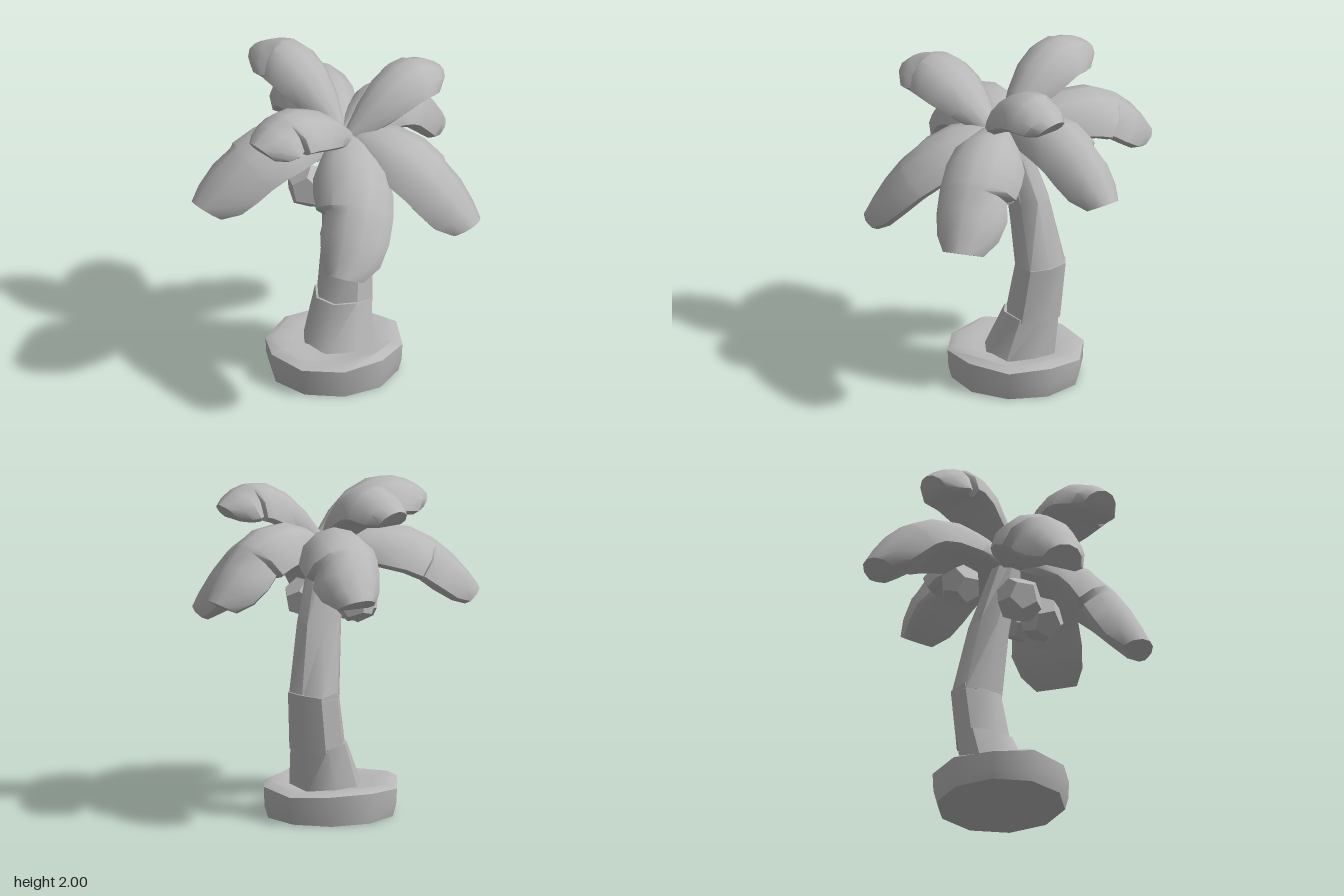
import * as THREE from 'three';
import { toCreasedNormals } from 'three/addons/utils/BufferGeometryUtils.js';

const V = (x, y, z) => new THREE.Vector3(x, y, z);

// Closed solid through equal-length rings of points, capped at both ends.
function loft(rings, crease = 0.8) {
  const pos = [], n = rings[0].length;
  const tri = (...pts) => pts.forEach((p) => pos.push(p.x, p.y, p.z));
  const middle = (ring) => ring.reduce((s, p) => s.add(p), V(0, 0, 0)).divideScalar(n);
  const first = rings[0], last = rings[rings.length - 1];
  const c0 = middle(first), c1 = middle(last);
  for (let i = 0; i < n; i++) {
    const j = (i + 1) % n;
    for (let k = 0; k < rings.length - 1; k++) {
      const a = rings[k], b = rings[k + 1];
      tri(a[i], b[i], a[j]);
      tri(a[j], b[i], b[j]);
    }
    tri(c0, first[i], first[j]);
    tri(c1, last[j], last[i]);
  }
  const g = new THREE.BufferGeometry();
  g.setAttribute('position', new THREE.Float32BufferAttribute(pos, 3));
  return toCreasedNormals(g, crease);
}

// Horizontal ring; wobble varies the height around it.
function ring(n, x, y, z, rx, rz, wobble = 0, turn = 0) {
  return Array.from({ length: n }, (_, i) => {
    const a = (i / n) * Math.PI * 2 + turn;
    return V(x + Math.cos(a) * rx, y + wobble * Math.sin(i * 2.4 + 1), z + Math.sin(a) * rz);
  });
}

// Station along the frond, half width, half width on the notched side.
const STATIONS = [
  [0, 0.07, 0.07], [0.14, 0.15, 0.15], [0.32, 0.2, 0.2], [0.52, 0.212, 0.212],
  [0.67, 0.21, 0.205], [0.7, 0.208, 0.16], [0.82, 0.198, 0.188], [0.93, 0.17, 0.165], [1, 0.11, 0.11],
];

// Rounded dome across the frond: side position and share of the droop.
const DOME = [[1, 1], [0.86, 0.5], [0.48, 0.13], [0, 0], [-0.48, 0.13], [-0.86, 0.5], [-1, 1]];

// Thick arched frond: domed top, drooping sides, flat underside.
function frond(base, mid, tip, notch, width, depth) {
  const control = mid.clone().multiplyScalar(2).addScaledVector(base, -0.5).addScaledVector(tip, -0.5);
  const spine = new THREE.QuadraticBezierCurve3(base, control, tip);
  const rings = STATIONS.map(([t, w, wn]) => {
    const p = spine.getPoint(t), dir = spine.getTangent(t);
    const side = V(0, 0, 0).crossVectors(dir, V(0, 1, 0)).normalize();
    const up = V(0, 0, 0).crossVectors(side, dir);
    const droop = 0.015 + w * depth;
    const at = (s, h) => p.clone()
      .addScaledVector(side, s * width * (Math.sign(s) === notch ? wn : w))
      .addScaledVector(up, h);
    return [
      ...DOME.map(([s, h]) => at(s, -droop * h)),
      at(-0.8, -droop - 0.03), at(0.8, -droop - 0.03),
    ];
  });
  return loft(rings);
}

export function createModel() {
  const model = new THREE.Group();
  const grey = new THREE.MeshStandardMaterial({ color: 0xb8b8b8 });
  grey.name = 'plain grey';
  const add = (name, geometry) => {
    const mesh = new THREE.Mesh(geometry, grey);
    mesh.name = name;
    model.add(mesh);
    return mesh;
  };

  // Round ground mound with a slightly uneven rim
  const bx = -0.045, bz = -0.015;
  add('base', loft([
    ring(10, bx, 0, bz, 0.37, 0.385),
    ring(10, bx, 0.07, bz, 0.385, 0.41),
    ring(10, bx, 0.175, bz, 0.39, 0.415, 0.012),
    ring(10, bx, 0.2, bz, 0.34, 0.36, 0.018),
    ring(10, bx, 0.18, bz, 0.25, 0.26, 0.012),
  ]));

  // Leaning trunk in stepped segments: [x, y, z, radiusX, radiusZ] from bottom to top
  const trunk = [
    [[-0.04, 0.15, -0.045, 0.22, 0.22], [-0.07, 0.44, -0.12, 0.18, 0.165]],
    [[-0.07, 0.41, -0.13, 0.175, 0.165], [-0.09, 0.75, -0.175, 0.16, 0.15]],
    [[-0.09, 0.72, -0.17, 0.16, 0.15], [-0.055, 1.15, -0.105, 0.125, 0.135], [0.02, 1.6, 0, 0.09, 0.08]],
  ];
  trunk.forEach((rows, i) => add('trunkSegment' + (i + 1),
    loft(rows.map((r, k) => ring(8, ...r, k ? 0.012 : 0, Math.PI / 8)))));

  // Fronds: base, middle and tip of the spine, notched side, width, depth of the dome
  const low = () => V(0.04, 1.6, 0);
  const fronds = [
    ['lowFrondBack', low(), V(0.01, 1.745, -0.46), V(0.02, 1.36, -0.85), -1, 0.95, 0.95],
    ['lowFrondBackLeft', low(), V(0.46, 1.6, -0.19), V(0.8, 1.14, -0.35), -1, 1.12, 0.95],
    ['lowFrondFrontLeft', low(), V(0.39, 1.53, 0.29), V(0.56, 1.05, 0.6), 1, 1.1, 0.9],
    ['lowFrondFrontRight', low(), V(-0.19, 1.67, 0.43), V(-0.34, 1.29, 0.84), 1, 1.15, 0.95],
    ['lowFrondBackRight', low(), V(-0.43, 1.76, -0.24), V(-0.8, 1.44, -0.36), 1, 1.08, 0.95],
    ['highFrondBack', V(0.11, 1.63, 0.04), V(0.19, 1.95, -0.29), V(0.23, 1.86, -0.61), -1, 0.88, 0.75],
    ['highFrondFront', V(0.11, 1.63, 0.02), V(0.09, 1.9, 0.4), V(0.05, 1.79, 0.75), -1, 0.98, 0.75],
    ['highFrondRight', V(0.03, 1.63, 0), V(-0.31, 1.985, 0), V(-0.67, 1.895, 0), -1, 0.88, 0.75],
  ];
  fronds.forEach(([name, ...spec]) => add(name, frond(...spec)));

  // Nuts hanging under the crown
  [[-0.07, 1.25, 0.16, 0.14], [0.15, 1.21, 0.12, 0.135], [0.14, 1.25, -0.06, 0.125], [-0.33, 1.32, -0.06, 0.13]]
    .forEach(([x, y, z, r], i) => {
      const nut = add('nut' + (i + 1), toCreasedNormals(new THREE.DodecahedronGeometry(r), 0.3));
      nut.position.set(x, y, z);
      nut.rotation.set(i * 0.9, i * 1.3, 0.3);
    });

  return model;
}
